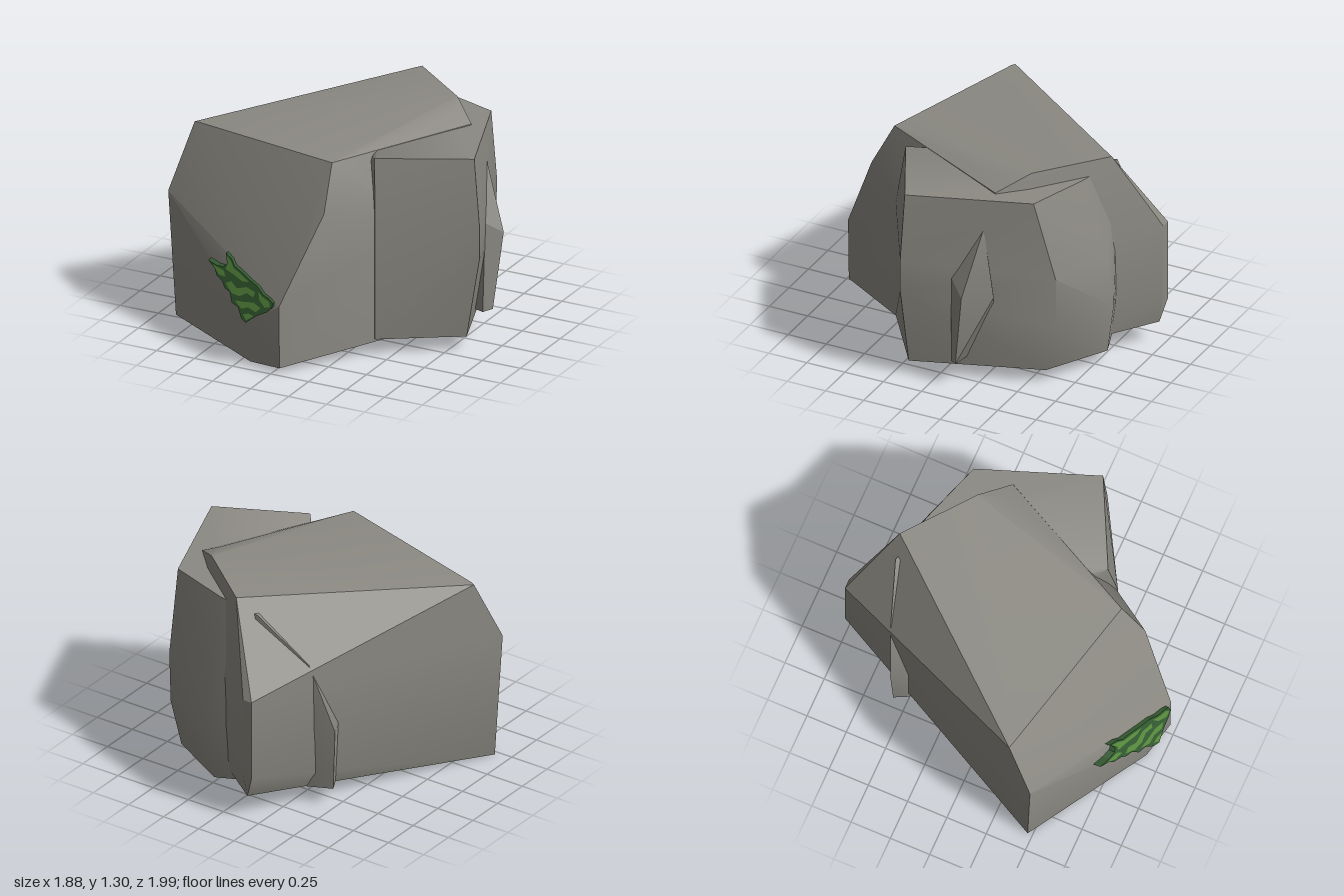
import * as THREE from 'three';
import { toCreasedNormals } from 'three/addons/utils/BufferGeometryUtils.js';
import { ConvexGeometry } from 'three/addons/geometries/ConvexGeometry.js';

const stone = new THREE.MeshStandardMaterial({ color: 0x8c8a83 });
stone.name = 'grey stone';
const mossDark = new THREE.MeshStandardMaterial({ color: 0x32592f });
mossDark.name = 'dark moss';
const mossLight = new THREE.MeshStandardMaterial({ color: 0x568a3c, side: THREE.DoubleSide });
mossLight.name = 'light moss';

// A boulder is the hull of its corner points, with soft edges below the crease angle
function boulder(name, corners, crease) {
  const hull = new ConvexGeometry(corners.map((c) => new THREE.Vector3(...c)));
  const mesh = new THREE.Mesh(toCreasedNormals(hull, crease), stone);
  mesh.name = name;
  return mesh;
}

// Lays a flat geometry onto the sloping front of the main boulder
function drape(geometry, lift) {
  const p = geometry.attributes.position;
  for (let i = 0; i < p.count; i++) {
    p.setZ(i, 1.165 + 0.305 * p.getX(i) - 0.441 * p.getY(i) + p.getZ(i) + lift);
  }
  geometry.computeVertexNormals();
  return geometry;
}

const outline = (pts) => new THREE.Shape(pts.map(([x, y]) => new THREE.Vector2(x, y)));

export function createModel() {
  const group = new THREE.Group();
  group.name = 'mossyBoulders';

  // Large slanted boulder
  group.add(boulder('mainBoulder', [
    // top
    [-0.85, 1.18, 0.33], [-0.82, 1.185, 0.34], [0.19, 1.22, 0.59], [0.52, 1.28, -0.30],
    [0.64, 1.22, -0.30], [0.47, 1.305, -0.45], [0.07, 1.30, -0.77],
    // front
    [-0.935, 0.79, 0.50], [0.21, 0.95, 0.73], [0.04, 0.42, 0.97], [-0.18, 0.28, 0.93],
    // bottom
    [-0.90, 0.0, 0.47], [-0.18, 0.01, 0.91], [0.04, 0.03, 0.965],
    [0.55, 0.10, 0.25], [0.58, 0.12, -0.42], [-0.15, 0.14, -0.97],
    // right side and back
    [0.55, 0.80, 0.26], [0.66, 0.90, -0.25], [0.62, 0.79, -0.45],
    [-0.20, 0.79, -1.0], [-0.14, 0.79, -1.0], [-0.20, 0.28, -1.0], [-0.14, 0.28, -0.995],
  ], 0.42));

  // Rounder boulder set into the main one from behind
  group.add(boulder('sideBoulder', [
    // top
    [0.38, 1.22, 0.42], [0.90, 1.22, 0.16], [0.64, 1.21, -0.55], [0.25, 1.21, -0.68], [-0.06, 1.21, -0.74],
    // middle
    [0.41, 0.85, 0.47], [0.94, 0.80, 0.17], [0.94, 0.60, 0.17], [0.61, 0.72, -0.68],
    [0.22, 0.72, -0.82], [0.22, 0.40, -0.86], [0.60, 0.40, -0.68],
    [-0.36, 0.92, -0.64], [-0.50, 0.50, -0.58], [-0.46, 0.50, -0.49],
    // bottom
    [0.41, 0.10, 0.47], [0.85, 0.09, 0.16], [0.58, 0.085, -0.60], [0.20, 0.08, -0.81],
    [-0.48, 0.11, -0.57], [-0.44, 0.11, -0.49],
  ], 0.85));

  // Sharp corner of stone breaking through the side
  group.add(boulder('stoneShard', [
    [0.75, 1.03, -0.28], [0.83, 0.70, -0.11], [0.90, 0.62, -0.21], [0.77, 0.60, -0.355],
    [0.86, 0.15, -0.15], [0.82, 0.14, -0.10], [0.50, 0.60, -0.20], [0.50, 0.14, -0.20],
  ], 0.3));

  // Moss mat with ragged edges
  const mat = new THREE.ExtrudeGeometry(outline([
    [-0.53, 0.53], [-0.47, 0.50], [-0.45, 0.47], [-0.40, 0.45], [-0.37, 0.42], [-0.33, 0.41],
    [-0.30, 0.36], [-0.25, 0.35], [-0.21, 0.30], [-0.17, 0.285], [-0.14, 0.31], [-0.10, 0.34],
    [-0.03, 0.38], [0.0, 0.41], [0.0, 0.435], [-0.03, 0.45], [-0.08, 0.46], [-0.13, 0.49],
    [-0.20, 0.51], [-0.26, 0.53], [-0.33, 0.55], [-0.36, 0.58], [-0.41, 0.60],
    [-0.39, 0.55], [-0.41, 0.525], [-0.46, 0.52],
  ]), { depth: 0.09, bevelEnabled: false });
  const moss = new THREE.Mesh(drape(mat, -0.09), mossDark);
  moss.name = 'mossMat';
  group.add(moss);

  // Bright blotches on the moss
  const blotches = [
    [[-0.49, 0.52], [-0.43, 0.48], [-0.38, 0.48], [-0.40, 0.51], [-0.45, 0.515]],
    [[-0.40, 0.59], [-0.38, 0.55], [-0.39, 0.52], [-0.33, 0.51], [-0.25, 0.49], [-0.20, 0.50],
      [-0.27, 0.525], [-0.33, 0.54], [-0.36, 0.57]],
    [[-0.37, 0.45], [-0.31, 0.41], [-0.25, 0.41], [-0.20, 0.44], [-0.15, 0.43], [-0.14, 0.46],
      [-0.21, 0.47], [-0.28, 0.445], [-0.33, 0.47]],
    [[-0.28, 0.38], [-0.22, 0.35], [-0.17, 0.37], [-0.11, 0.36], [-0.08, 0.39], [-0.14, 0.405], [-0.21, 0.39]],
    [[-0.20, 0.325], [-0.17, 0.30], [-0.12, 0.335], [-0.16, 0.34]],
    [[-0.12, 0.47], [-0.10, 0.43], [-0.05, 0.40], [-0.01, 0.415], [-0.03, 0.44], [-0.08, 0.45]],
  ];
  blotches.forEach((pts) => {
    const patch = new THREE.Mesh(drape(new THREE.ShapeGeometry(outline(pts)), 0.005), mossLight);
    patch.name = 'mossBlotch';
    group.add(patch);
  });

  return group;
}
